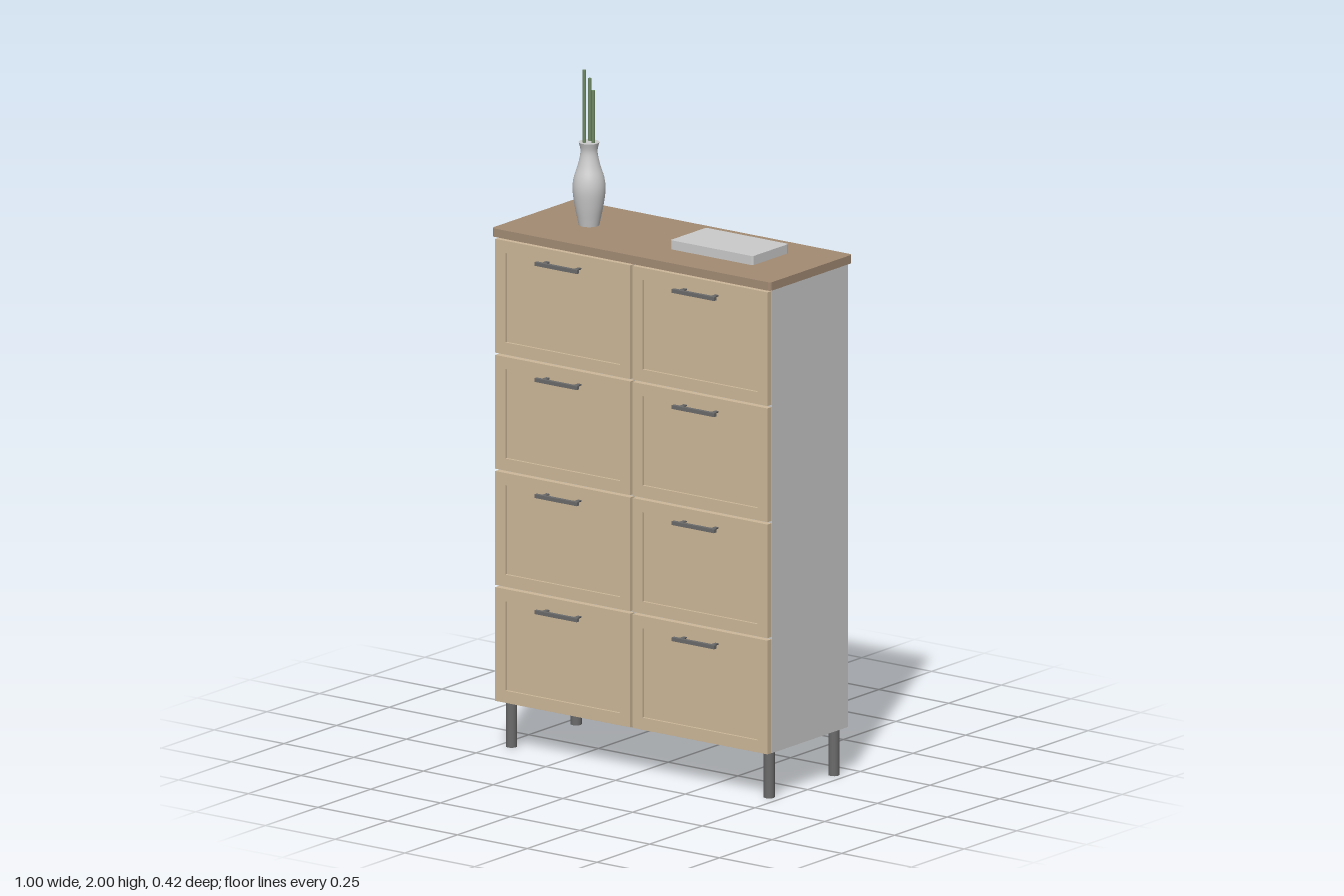
import * as THREE from 'three';

const mat = (color) => new THREE.MeshStandardMaterial({ color });

export function createModel() {
  const root = new THREE.Group();
  root.name = 'drawerCabinet';
  const grey = mat(0xcccccc), wood = mat(0xcdb899), topWood = mat(0xa38b74);
  const metal = mat(0x6b6b6b), green = mat(0x6f8a64);

  const add = (name, geo, material, x, y, z, parent = root) => {
    const mesh = new THREE.Mesh(geo, material);
    mesh.name = name;
    mesh.position.set(x, y, z);
    parent.add(mesh);
    return mesh;
  };

  const rectPath = (path, w, h) => {
    path.moveTo(-w / 2, -h / 2);
    path.lineTo(w / 2, -h / 2);
    path.lineTo(w / 2, h / 2);
    path.lineTo(-w / 2, h / 2);
    path.closePath();
    return path;
  };

  // Flat slab with rounded corners, lying on y = 0
  const slab = (w, d, h, r) => {
    const s = new THREE.Shape();
    const a = w / 2 - r, b = d / 2 - r;
    s.absarc(a, b, r, 0, Math.PI / 2);
    s.absarc(-a, b, r, Math.PI / 2, Math.PI);
    s.absarc(-a, -b, r, Math.PI, Math.PI * 1.5);
    s.absarc(a, -b, r, Math.PI * 1.5, Math.PI * 2);
    s.closePath();
    return new THREE.ExtrudeGeometry(s, { depth: h, bevelEnabled: false, curveSegments: 5 })
      .rotateX(-Math.PI / 2);
  };

  // Carcass and worktop
  add('body', new THREE.BoxGeometry(0.98, 1.375, 0.36), grey, 0, 0.8275, -0.025);
  add('top', slab(1, 0.39, 0.025, 0.01), topWood, 0, 1.515, -0.018);

  // Legs
  const legGeo = new THREE.CylinderGeometry(0.016, 0.016, 0.14, 16);
  for (const x of [-0.462, 0.462])
    for (const z of [-0.175, 0.132]) add('leg', legGeo, metal, x, 0.07, z);

  // Drawer fronts: raised frame, recessed panel and bar handle
  const W = 0.484, H = 0.337, B = 0.036;
  const frameShape = rectPath(new THREE.Shape(), W, H);
  frameShape.holes.push(rectPath(new THREE.Path(), W - 2 * B, H - 2 * B));
  const frameGeo = new THREE.ExtrudeGeometry(frameShape, { depth: 0.02, bevelEnabled: false });
  const panelGeo = new THREE.BoxGeometry(W - 2 * B, H - 2 * B, 0.012);
  const barGeo = new THREE.BoxGeometry(0.152, 0.011, 0.011);
  const postGeo = new THREE.CylinderGeometry(0.0045, 0.0045, 0.036, 10).rotateX(Math.PI / 2);
  for (let row = 0; row < 4; row++) {
    for (const side of [-1, 1]) {
      const drawer = new THREE.Group();
      drawer.name = 'drawer';
      drawer.position.set(side * 0.246, 0.3085 + row * 0.344, 0.155);
      root.add(drawer);
      add('drawerFrame', frameGeo, wood, 0, 0, 0, drawer);
      add('drawerPanel', panelGeo, wood, 0, 0, 0.006, drawer);
      add('handleBar', barGeo, metal, 0, 0.1285, 0.0485, drawer);
      for (const x of [-0.057, 0.057])
        add('handlePost', postGeo, metal, x, 0.1285, 0.028, drawer);
    }
  }

  // Vase with closed mouth
  const outline = [[0.03, 0], [0.034, 0.02], [0.042, 0.06], [0.0475, 0.105], [0.044, 0.14],
    [0.033, 0.175], [0.026, 0.205], [0.025, 0.225], [0.03, 0.245]];
  const curve = new THREE.SplineCurve(outline.map(([r, y]) => new THREE.Vector2(r, y)));
  const vase = new THREE.Group();
  vase.name = 'vase';
  vase.position.set(-0.299, 1.54, -0.02);
  root.add(vase);
  add('vaseBody', new THREE.LatheGeometry(curve.getPoints(32), 32), grey, 0, 0, 0, vase);
  add('vaseMouth', new THREE.CircleGeometry(0.03, 32).rotateX(-Math.PI / 2), grey, 0, 0.245, 0, vase);
  add('vaseBase', new THREE.CircleGeometry(0.03, 32).rotateX(Math.PI / 2), grey, 0, 0, 0, vase);

  // Stems: x, z, top height above the worktop
  for (const [x, z, top] of [[-0.007, 0.013, 0.46], [0.015, 0, 0.4], [-0.007, -0.013, 0.43]]) {
    const len = top - 0.2;
    add('stem', new THREE.CylinderGeometry(0.005, 0.005, len, 10), green, x, 0.2 + len / 2, z, vase);
  }

  // Book on the worktop
  add('book', slab(0.296, 0.17, 0.027, 0.006), grey, 0.197, 1.54, -0.03);

  return root;
}
